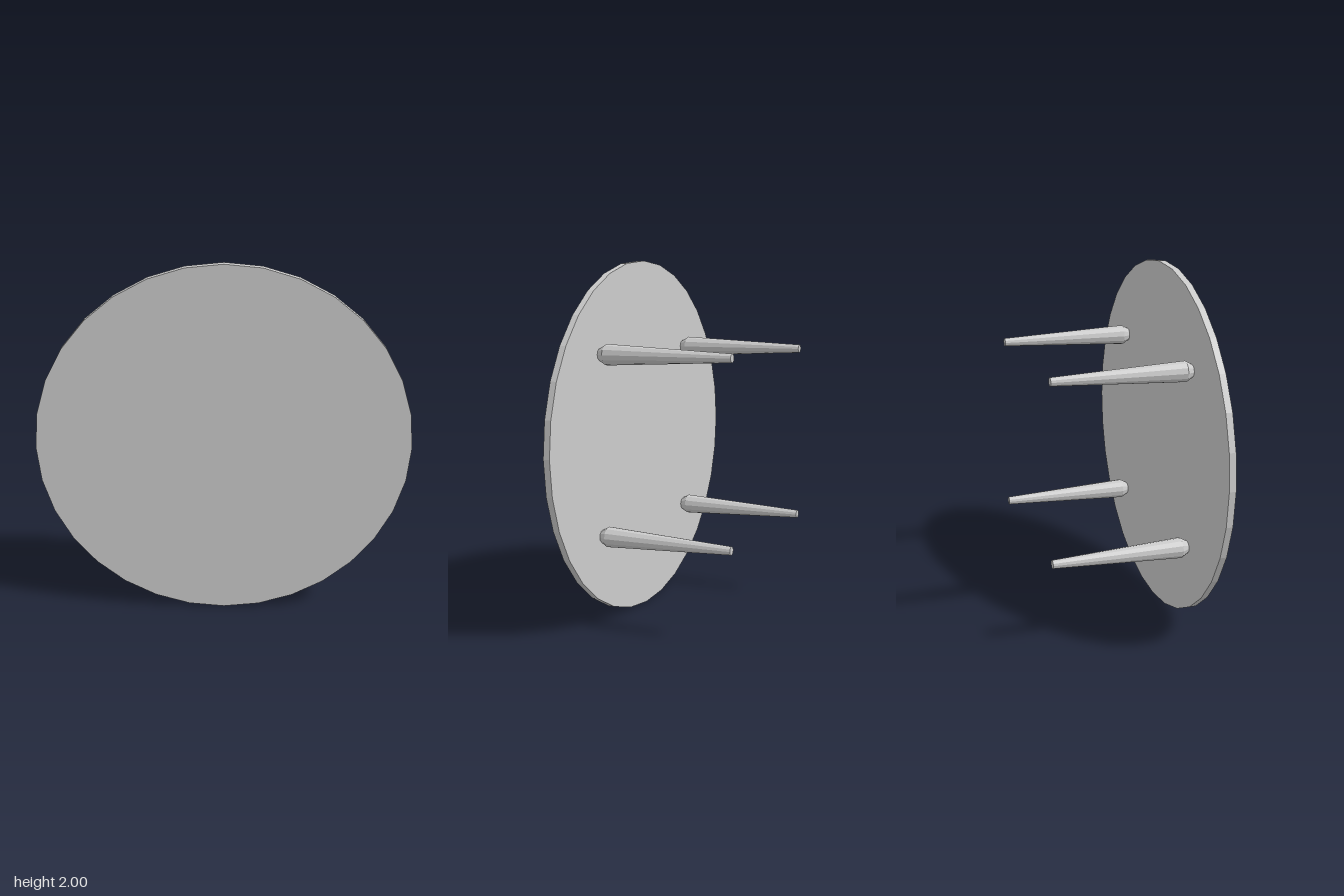
import * as THREE from 'three';

export function createModel() {
  const model = new THREE.Group();
  const material = new THREE.MeshStandardMaterial({ color: 0xcccccc, flatShading: true });

  // Thin round top standing on its edge, facing +z
  const top = new THREE.Mesh(new THREE.CylinderGeometry(1, 1, 0.037, 32), material);
  top.name = 'tableTop';
  top.rotation.x = Math.PI / 2;
  top.position.set(0, 1, 0.3825);
  model.add(top);

  // Tapered leg: narrow neck, shoulder, long taper to a blunt tip
  const profile = [[0, 0], [0.034, 0], [0.057, 0.04], [0.023, 0.765], [0, 0.765]]
    .map(([r, y]) => new THREE.Vector2(r, y));
  const legGeometry = new THREE.LatheGeometry(profile, 12);

  // Four legs pointing to the back
  for (const [side, sx] of [['Left', 1], ['Right', -1]]) {
    for (const [level, sy] of [['upper', 1], ['lower', -1]]) {
      const leg = new THREE.Mesh(legGeometry, material);
      leg.name = `${level}${side}Leg`;
      leg.rotation.x = -Math.PI / 2;
      leg.position.set(sx * 0.495, 1 + sy * 0.495, 0.364);
      model.add(leg);
    }
  }
  return model;
}
